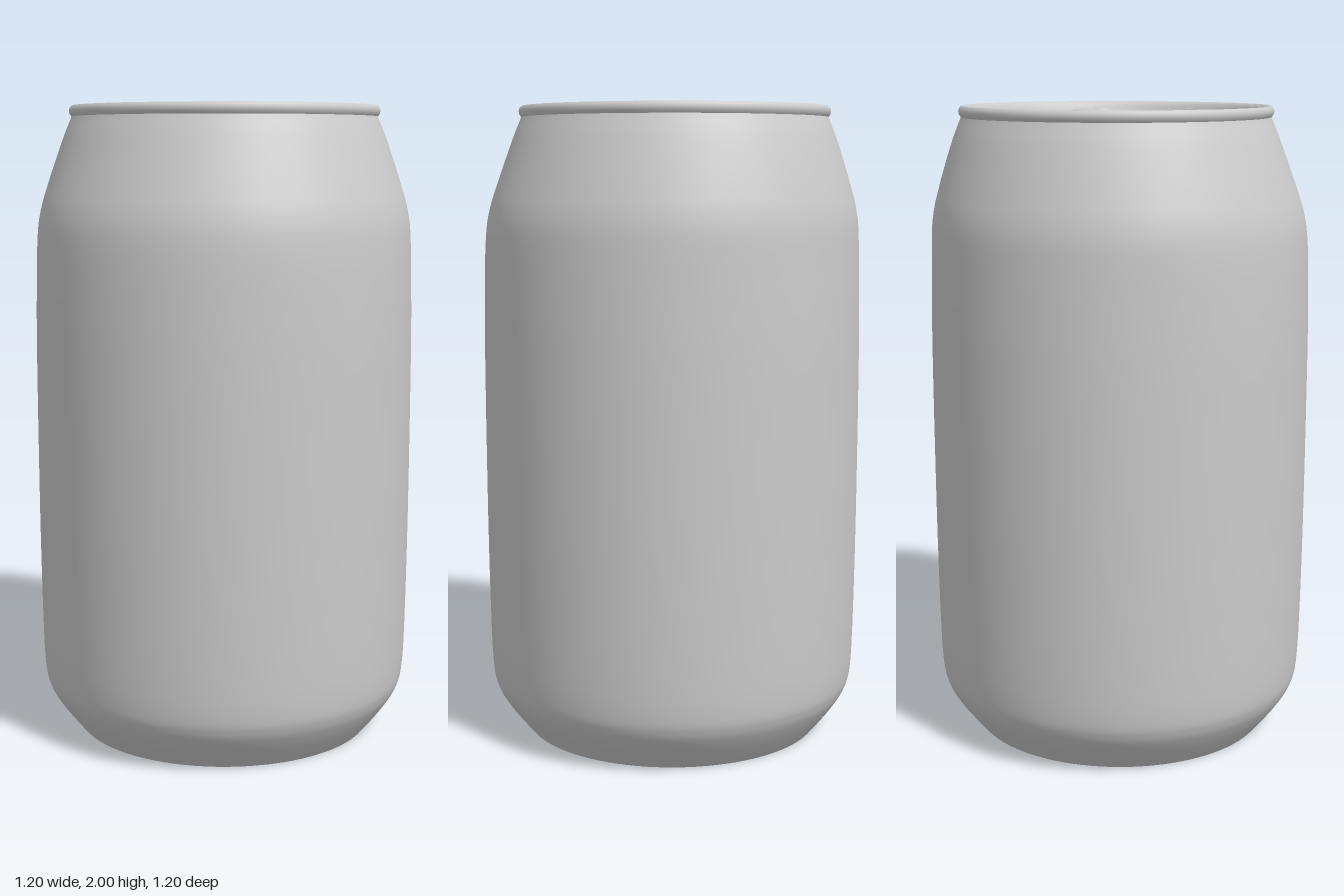
import * as THREE from 'three';
import { toCreasedNormals } from 'three/addons/utils/BufferGeometryUtils.js';

const LID_Y = 1.958;
const LID_Z = -0.012;
const V = (x, y) => new THREE.Vector2(x, y);

function addPart(group, name, geometry, twoSided = false) {
  const material = new THREE.MeshStandardMaterial({
    color: 0xcccccc,
    side: twoSided ? THREE.DoubleSide : THREE.FrontSide,
  });
  const mesh = new THREE.Mesh(geometry, material);
  mesh.name = name;
  group.add(mesh);
  return mesh;
}

// Closed smooth outline through plan points given as [x, z]
function outline(Type, points, divisions = 64) {
  const curve = new THREE.CatmullRomCurve3(
    points.map(([x, z]) => new THREE.Vector3(x, -z, 0)), true);
  return new Type(curve.getPoints(divisions).slice(0, -1).map((p) => V(p.x, p.y)));
}

// Completes a half outline (x >= 0) by mirroring the points off the axis
function mirrored(half) {
  const other = half.filter(([x]) => x > 0).reverse().map(([x, z]) => [-x, z]);
  return [...half, ...other];
}

function bodyGeometry() {
  const base = [V(0, 0.028), V(0.4, 0.024), V(0.445, 0.018), V(0.462, 0.005), V(0.468, 0)];
  const side = new THREE.SplineCurve([
    V(0.477, 0), V(0.506, 0.035), V(0.548, 0.09), V(0.577, 0.14), V(0.59, 0.2),
    V(0.596, 0.35), V(0.6, 0.7), V(0.6, 1.2), V(0.597, 1.42), V(0.591, 1.6),
    V(0.58, 1.68), V(0.56, 1.75), V(0.53, 1.84), V(0.505, 1.91), V(0.485, 1.958),
  ]).getPoints(70);
  const rim = [
    V(0.482, 1.966), V(0.488, 1.974), V(0.49, 1.984), V(0.487, 1.994), V(0.48, 2),
    V(0.472, 1.999), V(0.464, 1.992), V(0.458, 1.978), V(0.454, 1.962),
    V(0.448, 1.953), V(0.441, 1.952), V(0.434, LID_Y),
  ];
  const geometry = new THREE.LatheGeometry([...base, ...side, ...rim], 96);
  // The neck leans slightly to the back
  const pos = geometry.attributes.position;
  for (let i = 0; i < pos.count; i++) {
    const lean = THREE.MathUtils.smoothstep(pos.getY(i), 1.5, 1.95);
    pos.setZ(i, pos.getZ(i) + LID_Z * lean);
  }
  return toCreasedNormals(geometry, 0.7);
}

// Flat panel with the mouth cut out
function lidGeometry() {
  const shape = new THREE.Shape();
  shape.absarc(0, -LID_Z, 0.435, 0, Math.PI * 2);
  const mouth = new THREE.Path();
  mouth.absellipse(0, 0.215, 0.19, 0.155, 0, Math.PI * 2, true);
  shape.holes.push(mouth);
  return new THREE.ShapeGeometry(shape, 48).rotateX(-Math.PI / 2);
}

function tabGeometry() {
  const shape = outline(THREE.Shape, mirrored([
    [0, -0.195], [0.065, -0.181], [0.12, -0.14], [0.147, -0.075], [0.153, 0.02],
    [0.15, 0.13], [0.135, 0.205], [0.09, 0.258], [0, 0.278],
  ]), 90);
  // Finger opening
  shape.holes.push(outline(THREE.Path, mirrored([
    [0, 0.034], [0.06, 0.045], [0.108, 0.085], [0.124, 0.15],
    [0.11, 0.21], [0.065, 0.252], [0, 0.265],
  ])));
  // Crescent slot around the rivet
  shape.holes.push(outline(THREE.Path, mirrored([
    [0, -0.058], [0.045, -0.062], [0.075, -0.08], [0.1, -0.102],
    [0.107, -0.07], [0.088, -0.025], [0.045, 0.003], [0, 0.01],
  ])));
  const geometry = new THREE.ExtrudeGeometry(shape, {
    depth: 0.012, bevelEnabled: true, bevelThickness: 0.006,
    bevelSize: 0.006, bevelOffset: -0.006, bevelSegments: 3,
  });
  return toCreasedNormals(geometry.rotateX(-Math.PI / 2), 0.6);
}

export function createModel() {
  const can = new THREE.Group();
  can.name = 'drinkCan';

  addPart(can, 'body', bodyGeometry());
  addPart(can, 'lid', lidGeometry()).position.y = LID_Y;

  // Rounded hollow below the mouth
  const hollow = new THREE.SphereGeometry(1, 48, 16, 0, Math.PI * 2, Math.PI / 2, Math.PI / 2);
  hollow.scale(0.19, 0.17, 0.155);
  addPart(can, 'mouthHollow', hollow, true).position.set(0, LID_Y, -0.215);

  // Flap pushed down into the mouth, hinged under the tab
  const flap = new THREE.CircleGeometry(1, 48).rotateX(-Math.PI / 2);
  flap.scale(0.172, 1, 0.12);
  const flapMesh = addPart(can, 'mouthFlap', flap, true);
  flapMesh.position.set(0, LID_Y - 0.068, -0.16);
  flapMesh.rotation.x = -0.57;

  // Pull tab with its rivet and raised nose
  const tab = new THREE.Group();
  tab.name = 'pullTab';
  tab.position.y = LID_Y;
  can.add(tab);
  addPart(tab, 'tabPlate', tabGeometry()).position.y = 0.009;
  const nose = addPart(tab, 'tabNose', new THREE.SphereGeometry(1, 32, 16));
  nose.scale.set(0.09, 0.008, 0.042);
  nose.position.set(0, 0.025, -0.103);
  const rivet = addPart(tab, 'rivet', new THREE.SphereGeometry(0.038, 32, 16));
  rivet.scale.y = 0.6;
  rivet.position.set(0, 0.014, -0.063);

  return can;
}
